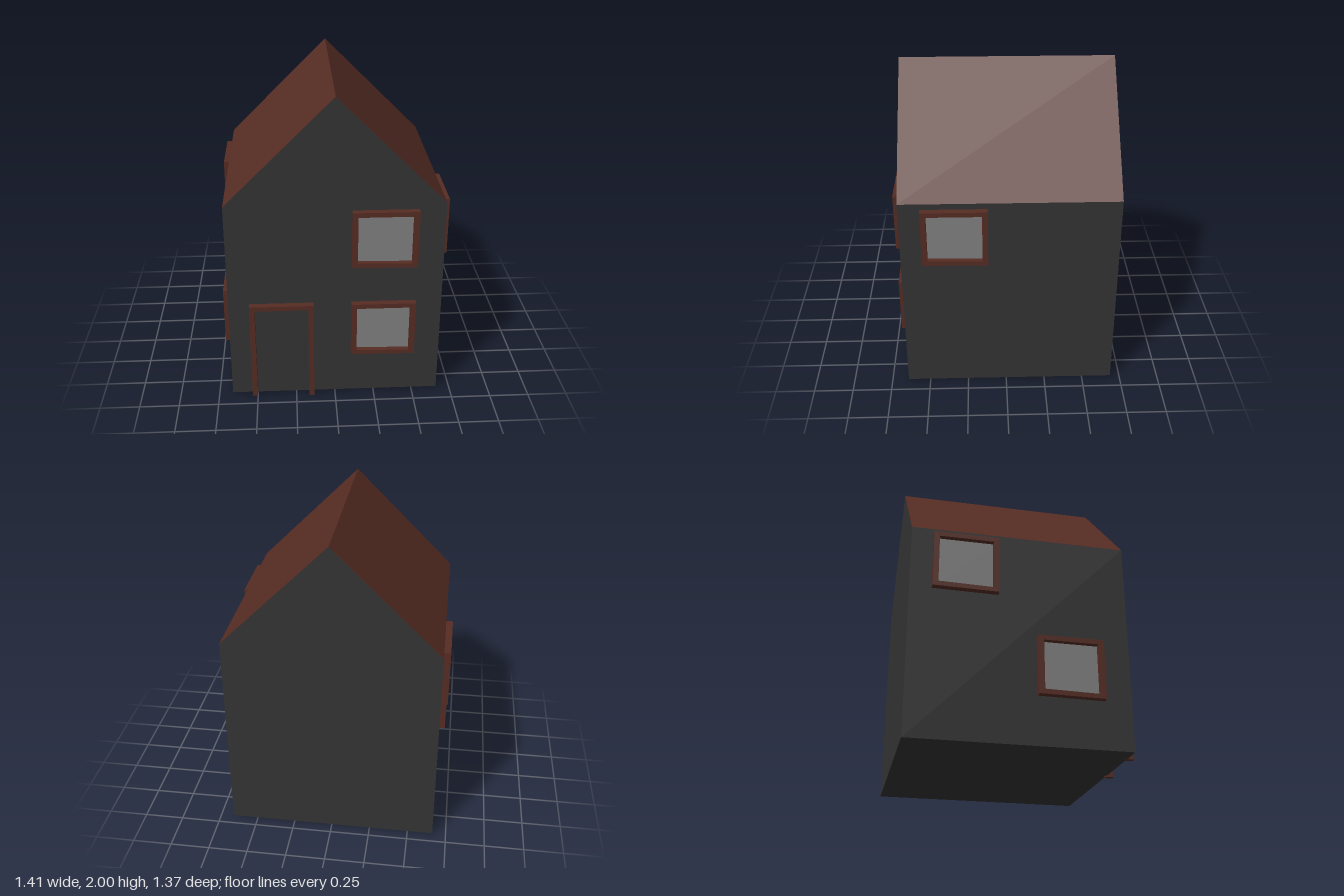
import * as THREE from 'three';

const W = 0.663, FRONT = 0.643, BACK = -0.688, BASE = 0.01, EAVES = 1.337, RIDGE = 2;

const wallMat = new THREE.MeshStandardMaterial({ color: 0x343434 });
wallMat.name = 'charcoal wall';
const roofMat = new THREE.MeshStandardMaterial({ color: 0x562c23 });
roofMat.name = 'red brown';
const glassMat = new THREE.MeshStandardMaterial({ color: 0x808080 });
glassMat.name = 'grey glass';

function extrude(points, hole, depth) {
  const shape = new THREE.Shape(points.map(([x, y]) => new THREE.Vector2(x, y)));
  if (hole) shape.holes.push(new THREE.Path(hole.map(([x, y]) => new THREE.Vector2(x, y))));
  return new THREE.ExtrudeGeometry(shape, { depth, bevelEnabled: false });
}

function addMesh(parent, name, geometry, material) {
  const mesh = new THREE.Mesh(geometry, material);
  mesh.name = name;
  parent.add(mesh);
  return mesh;
}

// Framed window facing +z, with its back at the wall plane
function createWindow(name) {
  const g = new THREE.Group();
  g.name = name;
  const frame = extrude(
    [[-0.2, -0.183], [0.2, -0.187], [0.2, 0.183], [-0.2, 0.183]],
    [[-0.166, -0.153], [-0.166, 0.153], [0.166, 0.153], [0.166, -0.159]], 0.041);
  addMesh(g, 'windowFrame', frame, roofMat);
  const pane = new THREE.BoxGeometry(0.334, 0.314, 0.008);
  addMesh(g, 'windowPane', pane, glassMat).position.set(0, -0.002, 0.004);
  return g;
}

export function createModel() {
  const house = new THREE.Group();
  house.name = 'house';

  // Solid body with gable ends
  const body = extrude([[-W, BASE], [W, BASE], [W, EAVES], [0, RIDGE - 0.002], [-W, EAVES]], null, FRONT - BACK);
  addMesh(house, 'walls', body, wallMat).position.z = BACK;

  // Two thin roof slopes, flush with the gables
  for (const s of [-1, 1]) {
    const pts = [[s * W, EAVES], [0, RIDGE], [0, RIDGE - 0.004], [s * W, EAVES - 0.002]];
    const slope = addMesh(house, s < 0 ? 'rightRoof' : 'leftRoof', extrude(pts, null, FRONT - BACK), roofMat);
    slope.position.z = BACK;
  }

  // Windows: name, position, turn about y
  const windows = [
    ['frontUpperWindow', 0.3, 1.117, FRONT, 0],
    ['frontLowerWindow', 0.3, 0.492, FRONT, 0],
    ['leftUpperWindow', W, 1.117, 0.311, Math.PI / 2],
    ['rightUpperWindow', -W, 1.117, -0.355, -Math.PI / 2],
    ['rightLowerWindow', -W, 0.492, 0.277, -Math.PI / 2],
  ];
  for (const [name, x, y, z, turn] of windows) {
    const win = createWindow(name);
    win.position.set(x, y, z);
    win.rotation.y = turn;
    house.add(win);
  }

  // Door surround, open at the bottom
  const door = extrude([
    [-0.533, 0.008], [-0.5, 0.008], [-0.5, 0.645], [-0.167, 0.645],
    [-0.167, 0], [-0.135, 0], [-0.135, 0.675], [-0.533, 0.675],
  ], null, 0.05);
  addMesh(house, 'doorFrame', door, roofMat).position.z = FRONT - 0.009;

  return house;
}
